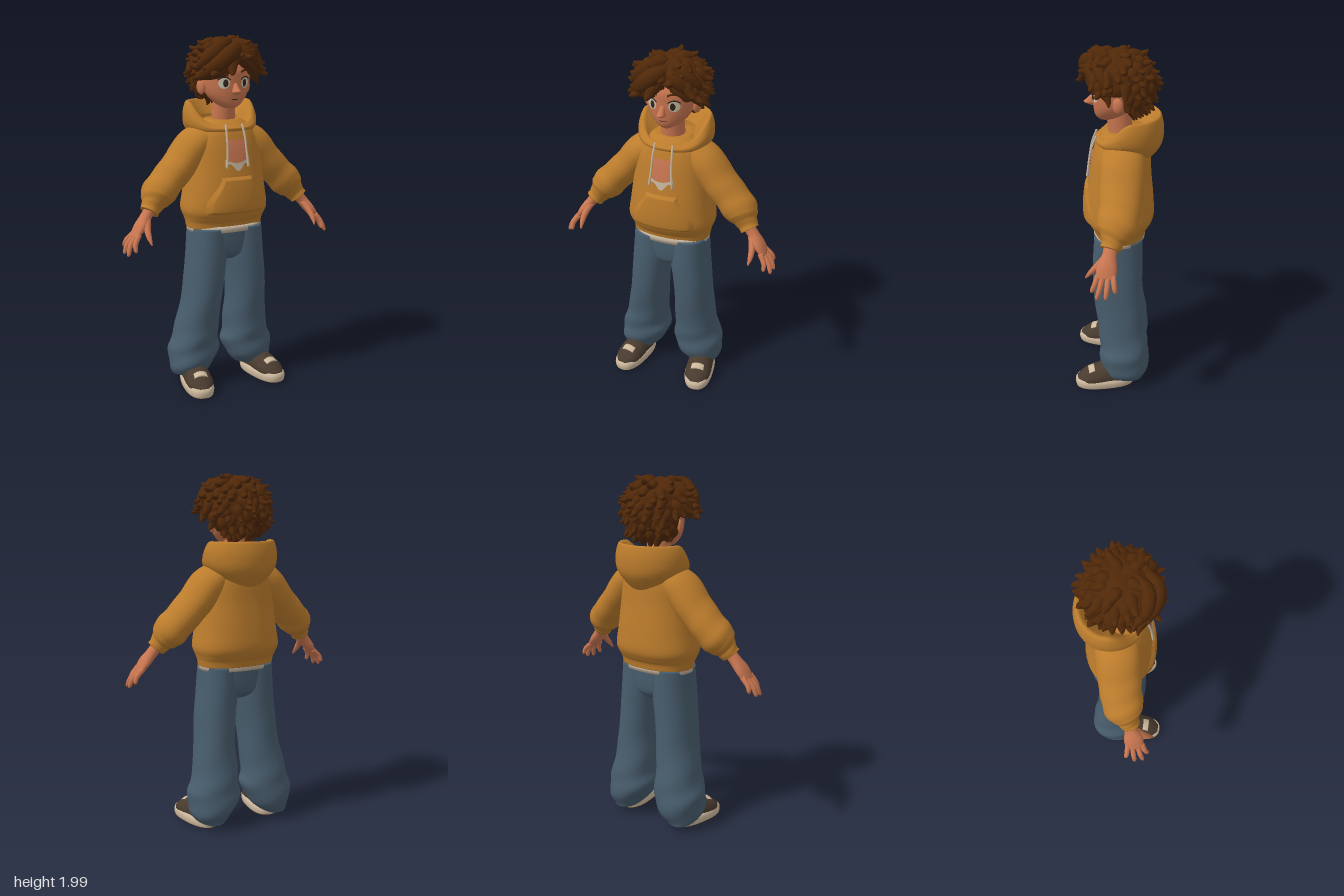
import * as THREE from 'three';
import { ParametricGeometry } from 'three/addons/geometries/ParametricGeometry.js';

const V3 = (x, y, z) => new THREE.Vector3(x, y, z);
const lerp = THREE.MathUtils.lerp, step = THREE.MathUtils.smoothstep;
const mat = (name, color, side = THREE.FrontSide) =>
  Object.assign(new THREE.MeshStandardMaterial({ color, side }), { name });

// Catmull-Rom interpolation of rows [x, y, z, radiusA, radiusB]
function smooth(rows, t) {
  const n = rows.length - 1, f = Math.min(t, 0.99999) * n, i = Math.floor(f), k = f - i;
  const r = (j) => rows[Math.max(0, Math.min(n, j))];
  return rows[0].map((_, c) => {
    const a = r(i - 1)[c], b = r(i)[c], d = r(i + 1)[c], e = r(i + 2)[c];
    return b + 0.5 * k * (d - a + k * (2 * a - 5 * b + 4 * d - e + k * (3 * (b - d) + e - a)));
  });
}

// Closed skin over elliptical rings; horizontal rings if no ref axis is given
function loft(rows, { seg = 24, steps = 32, pow = 2, ref = null, fold = () => 1 } = {}) {
  const pos = [], idx = [];
  for (let i = 0; i <= steps; i++) {
    const t = i / steps, [x, y, z, ra, rb] = smooth(rows, t);
    let U = V3(0, 0, 1), V = V3(1, 0, 0);
    if (ref) {
      const a = smooth(rows, Math.max(0, t - 0.02)), b = smooth(rows, Math.min(1, t + 0.02));
      const T = V3(b[0] - a[0], b[1] - a[1], b[2] - a[2]).normalize();
      U = ref.clone().addScaledVector(T, -ref.dot(T)).normalize();
      V = T.clone().cross(U);
    }
    for (let j = 0; j < seg; j++) {
      const a = (j / seg) * Math.PI * 2, c = Math.cos(a), s = Math.sin(a), f = fold(t, a);
      const p = V3(x, y, z)
        .addScaledVector(V, ra * f * Math.sign(c) * Math.abs(c) ** (2 / pow))
        .addScaledVector(U, rb * f * Math.sign(s) * Math.abs(s) ** (2 / pow));
      pos.push(p.x, p.y, p.z);
      if (i < steps) {
        const q = i * seg + j, r = i * seg + (j + 1) % seg;
        idx.push(q, q + seg, r, r, q + seg, r + seg);
      }
    }
  }
  const c0 = pos.length / 3, last = steps * seg;
  pos.push(...rows[0].slice(0, 3), ...rows[rows.length - 1].slice(0, 3));
  for (let j = 0; j < seg; j++) {
    const k = (j + 1) % seg;
    idx.push(c0, j, k, c0 + 1, last + k, last + j);
  }
  const g = new THREE.BufferGeometry();
  g.setAttribute('position', new THREE.Float32BufferAttribute(pos, 3));
  g.setIndex(idx);
  g.computeVertexNormals();
  return g;
}

// Move every vertex by a rule
function reshape(g, rule) {
  const p = g.attributes.position, v = V3();
  for (let i = 0; i < p.count; i++) {
    rule(v.fromBufferAttribute(p, i));
    p.setXYZ(i, v.x, v.y, v.z);
  }
  g.computeVertexNormals();
  return g;
}

// Front surface depth of a horizontal-ring loft
function frontZ(rows, pow, x, y) {
  let a = 0, b = 1;
  for (let i = 0; i < 24; i++) { const m = (a + b) / 2; if (smooth(rows, m)[1] < y) a = m; else b = m; }
  const r = smooth(rows, a);
  return r[2] + r[4] * Math.max(0, 1 - Math.abs(x / r[3]) ** pow) ** (1 / pow);
}

const TORSO = [[0, 0.94, -0.01, 0.222, 0.145], [0, 0.975, -0.01, 0.228, 0.152], [0, 1.0, -0.01, 0.236, 0.17],
  [0, 1.05, -0.01, 0.25, 0.192], [0, 1.15, -0.008, 0.235, 0.19], [0, 1.3, -0.012, 0.215, 0.172],
  [0, 1.42, -0.02, 0.2, 0.158], [0, 1.5, -0.025, 0.16, 0.135], [0, 1.54, -0.03, 0.1, 0.09]];
const HEAD = [[0, 1.605, 0.06, 0.03, 0.042], [0, 1.63, 0.045, 0.072, 0.078], [0, 1.68, 0.025, 0.115, 0.108],
  [0, 1.75, 0.01, 0.135, 0.128], [0, 1.82, 0, 0.135, 0.135], [0, 1.9, -0.01, 0.09, 0.09]];

export function createModel() {
  const root = new THREE.Group();
  root.name = 'standingFigure';
  const M = {
    hoodie: mat('ochre cloth', 0xbc7c2c, THREE.DoubleSide), denim: mat('blue denim', 0x485d6d),
    skin: mat('skin', 0xc97650), hair: mat('brown hair', 0x502808),
    shirt: mat('pale shirt', 0xc6b49f, THREE.DoubleSide), rubber: mat('cream rubber', 0xcdb89c),
    suede: mat('dark suede', 0x483a2e), eye: mat('eye white', 0xc8c0a8), iris: mat('dark iris', 0x33251a),
  };
  const add = (name, g, m, parent = root) => {
    const o = new THREE.Mesh(g, m);
    o.name = name;
    parent.add(o);
    return o;
  };
  // Thin plate following a front surface: at(u, v) gives [x, y, lift]
  const plate = (name, m, rows, pow, at, nu = 16, nv = 12) => add(name, new ParametricGeometry((u, v, o) => {
    const [x, y, lift] = at(u, v);
    o.set(x, y, frontZ(rows, pow, x, y) + lift);
  }, nu, nv), m);
  const disc = (cx, cy, a, b, lift) => (u, v) =>
    [cx + a * v * Math.cos(-u * Math.PI * 2), cy + b * v * Math.sin(-u * Math.PI * 2), lift];
  const Z = V3(0, 0, 1), X = V3(1, 0, 0);

  // Hooded top
  add('hoodieBody', loft(TORSO, { seg: 48, steps: 56, pow: 2.3 }), M.hoodie);
  plate('frontPocket', M.hoodie, TORSO, 2.3, (u, v) => {
    const edge = Math.min(u, 1 - u, v, 1 - v);
    return [(2 * u - 1) * lerp(0.185, 0.095, step(v, 0.2, 1)), 1.03 + 0.21 * v, -0.002 + 0.016 * Math.min(1, edge * 12)];
  }, 36, 28);
  add('hood', new ParametricGeometry((u, v, o) => {
    const a = u * Math.PI * 2, b = (1 - Math.cos(a)) / 2;
    const low = lerp(1.46, 1.38, b), rim = 1.515 + 0.12 * step(b, 0.02, 0.55);
    const prof = [[0.6, low], [0.94, lerp(low, rim, 0.35)], [1, lerp(low, rim, 0.68)], [0.93, rim - 0.008],
      [0.84, rim], [0.74, rim - 0.02], [0.5, rim - 0.08]];
    const [k, y] = smooth(prof, v);
    o.set(Math.sin(a) * 0.212 * k, y, -0.06 + Math.cos(a) * 0.188 * k);
  }, 56, 28), M.hoodie);
  plate('chestPrint', M.skin, TORSO, 2.3, (u, v) => [lerp(-0.052, 0.058, u), 1.32 + 0.12 * v, 0.006]);
  plate('chestPrintEdge', M.shirt, TORSO, 2.3, (u, v) =>
    [lerp(-0.072, 0.07, u), lerp(1.29 + 0.02 * Math.sin(u * 9), 1.335 - 0.02 * Math.sin(u * Math.PI), v), 0.008], 24, 4);
  add('shirtHem', loft([[0, 0.918, -0.008, 0.219, 0.146], [0, 0.955, -0.008, 0.219, 0.146]],
    { seg: 48, steps: 2, pow: 2.3 }), M.shirt);

  // Jeans
  add('jeansSeat', loft([[0, 0.75, -0.005, 0.06, 0.08], [0, 0.8, -0.005, 0.17, 0.128], [0, 0.94, -0.005, 0.21, 0.138]],
    { seg: 36, steps: 14, pow: 2.3 }), M.denim);

  for (const s of [1, -1]) {
    const side = s > 0 ? 'left' : 'right';
    const at = (rows) => rows.map(([x, ...r]) => [x * s, ...r]);
    // Baggy trouser leg with a hem that drops at the heel
    const leg = at([[0.205, 0.065, -0.03, 0.09, 0.115], [0.19, 0.12, -0.035, 0.125, 0.138], [0.172, 0.2, -0.04, 0.146, 0.145],
      [0.165, 0.27, -0.035, 0.132, 0.142], [0.155, 0.36, -0.025, 0.12, 0.138], [0.143, 0.5, -0.008, 0.11, 0.138],
      [0.13, 0.65, 0, 0.108, 0.142], [0.115, 0.8, 0, 0.11, 0.141], [0.11, 0.94, -0.003, 0.105, 0.136]]);
    for (const r of leg) r[0] -= 0.012 * step(0.6 - r[1], 0, 0.3);
    add(side + 'TrouserLeg', reshape(loft(leg, { seg: 36, steps: 60, pow: 2.2,
      fold: (t, a) => 1 + 0.04 * (1 - t) ** 1.5 * Math.sin(2 * a + 26 * t) + 0.015 * Math.sin(3 * a + 5 * t) * (1 - t) }),
    (v) => { if (v.y < 0.35) v.y += v.z * 0.27 * (1 - v.y / 0.35); }), M.denim);

    // Sleeve and cuff
    add(side + 'Sleeve', loft(at([[0.1, 1.46, -0.025, 0.07, 0.11], [0.18, 1.4, -0.025, 0.095, 0.122], [0.265, 1.3, -0.02, 0.092, 0.118],
      [0.345, 1.215, -0.012, 0.09, 0.112], [0.405, 1.15, 0, 0.092, 0.108], [0.432, 1.115, 0.012, 0.075, 0.085],
      [0.45, 1.09, 0.022, 0.058, 0.06], [0.472, 1.06, 0.032, 0.053, 0.054]]),
    { seg: 28, steps: 48, ref: Z, fold: (t, a) => 1 + 0.035 * t * Math.sin(t * 38 + 2 * Math.sin(a)) }), M.hoodie);

    // Hand
    const hand = new THREE.Group();
    hand.name = side + 'Hand';
    root.add(hand);
    add('palm', loft(at([[0.455, 1.085, 0.03, 0.032, 0.036], [0.495, 1.035, 0.038, 0.03, 0.038],
      [0.535, 0.985, 0.05, 0.027, 0.054], [0.572, 0.935, 0.056, 0.014, 0.048]]), { seg: 16, steps: 14, ref: Z }), M.skin, hand);
    const fingers = [[0.095, 0.59, 0.87, 0.13], [0.069, 0.624, 0.848, 0.102], [0.042, 0.63, 0.852, 0.055], [0.018, 0.615, 0.88, 0.005]];
    for (const [z, tx, ty, tz] of fingers) {
      const bx = 0.555, by = 0.955;
      add('finger', loft(at([[bx, by, z, 0.015, 0.015], [lerp(bx, tx, 0.55) + 0.008, lerp(by, ty, 0.5), lerp(z, tz, 0.5), 0.014, 0.014],
        [lerp(bx, tx, 0.9), lerp(by, ty, 0.9), lerp(z, tz, 0.9), 0.011, 0.011], [tx, ty, tz, 0.003, 0.003]]),
      { seg: 10, steps: 12, ref: Z }), M.skin, hand);
    }
    add('thumb', loft(at([[0.49, 1.03, 0.055, 0.018, 0.02], [0.508, 0.985, 0.098, 0.018, 0.018],
      [0.512, 0.945, 0.135, 0.014, 0.014], [0.508, 0.91, 0.163, 0.004, 0.004]]), { seg: 10, steps: 12, ref: X }), M.skin, hand);

    // Shoe, turned slightly outwards
    const shoe = new THREE.Group();
    shoe.name = side + 'Shoe';
    shoe.position.set(0.215 * s, 0, 0.076);
    shoe.rotation.y = 0.16 * s;
    root.add(shoe);
    const slab = (y0, y1, w, l) => loft([[0, y0, 0, w - 0.004, l - 0.004], [0, lerp(y0, y1, 0.3), 0, w, l],
      [0, lerp(y0, y1, 0.7), 0, w, l], [0, y1, 0, w - 0.008, l - 0.008]], { seg: 32, steps: 9, pow: 2.5 });
    add('outsole', slab(0, 0.01, 0.078, 0.168), M.suede, shoe);
    add('sole', slab(0.006, 0.058, 0.083, 0.175), M.rubber, shoe);
    const upper = [[0, 0.05, -0.16, 0.03, 0.045], [0, 0.06, -0.1, 0.08, 0.07], [0, 0.062, -0.02, 0.085, 0.075],
      [0, 0.058, 0.05, 0.066, 0.077], [0, 0.052, 0.11, 0.048, 0.068], [0, 0.05, 0.162, 0.012, 0.03]];
    const lift = (v) => { v.y = Math.max(v.y, 0.04); };
    add('upper', reshape(loft(upper, { seg: 24, steps: 24, ref: X }), lift), M.suede, shoe);
    add('tongue', reshape(loft([0.62, 0.66, 0.7, 0.74].map((t) => {
      const r = smooth(upper, t);
      return [r[0], r[1], r[2], r[3] + 0.005, r[4] * 0.85];
    }), { seg: 24, steps: 6, ref: X }), lift), M.rubber, shoe);

    // Drawstring, eye, brow and ear
    add(side + 'Drawstring', loft([[0.05 * s, 1.52, 0.118, 0.006, 0.006], [0.055 * s, 1.45, 0.144, 0.006, 0.006],
      [0.058 * s, 1.38, 0.157, 0.006, 0.006], [0.066 * s, 1.29, 0.168, 0.008, 0.008]], { seg: 8, steps: 12, ref: X }), M.shirt);
    plate(side + 'EyeWhite', M.eye, HEAD, 2, disc(0.062 * s, 1.743, 0.028, 0.029, 0.003), 20, 4);
    plate(side + 'Iris', M.iris, HEAD, 2, disc(0.056 * s, 1.743, 0.013, 0.021, 0.006), 16, 3);
    plate(side + 'Lash', M.iris, HEAD, 2, (u, v) => {
      const k = 2 * u - 1;
      return [0.062 * s + 0.031 * k, 1.772 - 0.014 * k * k + 0.007 * v, 0.005];
    }, 10, 1);
    plate(side + 'Brow', M.hair, HEAD, 2, (u, v) => {
      const k = 2 * u - 1;
      return [0.064 * s + 0.034 * k, 1.805 - 0.01 * k * k + 0.011 * v, 0.005];
    }, 10, 1);
    const ear = add(side + 'Ear', new THREE.SphereGeometry(1, 16, 12), M.skin);
    ear.scale.set(0.018, 0.043, 0.03);
    ear.position.set(0.14 * s, 1.72, 0);
    ear.rotation.y = -0.4 * s;
  }

  // Head
  add('face', loft(HEAD, { seg: 36, steps: 36 }), M.skin);
  add('neck', loft([[0, 1.44, -0.03, 0.07, 0.075], [0, 1.53, -0.015, 0.066, 0.068], [0, 1.66, 0, 0.062, 0.066]],
    { seg: 24, steps: 10 }), M.skin);
  add('nose', loft([[0, 1.745, 0.125, 0.01, 0.012], [0, 1.715, 0.142, 0.017, 0.026], [0, 1.697, 0.148, 0.022, 0.036],
    [0, 1.682, 0.13, 0.014, 0.018]].reverse(), { seg: 16, steps: 12 }), M.skin);
  plate('mouth', M.iris, HEAD, 2, (u, v) => [lerp(-0.022, 0.022, u), 1.653 + 0.004 * v + 0.003 * (2 * u - 1) ** 2, 0.003], 8, 1);

  // Hair: lumpy cap with a face opening
  const hair = new THREE.Group();
  hair.name = 'hair';
  root.add(hair);
  const C = V3(0, 1.81, 0), R = V3(0.185, 0.17, 0.19);
  const hairline = (x) => Math.max(1.78, 1.87 - (x > 0.02 ? (x - 0.02) * 0.8 : (0.02 - x) * 1.1));
  const bare = (p) => p.z > -0.035 && p.y < hairline(p.x);
  add('hairCap', reshape(new THREE.SphereGeometry(1, 72, 56), (v) => {
    const lump = 1 + 0.025 * Math.sin(9 * v.x + 7 * v.y) * Math.sin(8 * v.z + 5 * v.y);
    v.multiply(R).multiplyScalar(lump).add(C);
    if (bare(v)) v.sub(C).multiplyScalar(0.6).add(C);
  }), M.hair, hair);

  // Curls spread evenly over the cap
  let seed = 7;
  const rnd = () => (seed = (seed * 16807) % 2147483647) / 2147483647;
  const count = 150;
  for (let i = 0; i < count; i++) {
    const y = 1 - (2 * (i + 0.5)) / count, r = Math.sqrt(1 - y * y), a = i * 2.39996;
    const n = V3(Math.cos(a) * r, y, Math.sin(a) * r), p = n.clone().multiply(R).multiplyScalar(0.9).add(C);
    const t = V3(0, -1, 0).addScaledVector(n, y).normalize(), side = t.clone().cross(n);
    t.addScaledVector(side, (rnd() - 0.5) * 1.3).normalize();
    const size = 0.75 + 0.45 * rnd(), out = rnd() * 0.02;
    const end = p.clone().addScaledVector(t, 0.08);
    if (y < -0.72 || bare(p) || bare(end)) continue;
    const path = [[0, -0.01, 0.016], [0.03, 0.01, 0.03], [0.065, 0.012, 0.024], [0.09, 0.02 + out, 0.013], [0.094, 0.034 + out, 0.003]];
    add('curl', loft(path.map(([d, h, w]) => {
      const q = p.clone().addScaledVector(t, d * size).addScaledVector(n, h);
      return [q.x, q.y, q.z, w * 0.85, w];
    }), { seg: 9, steps: 12, ref: t.clone().cross(n) }), M.hair, hair);
  }

  // Parted fringe swept to both sides
  const locks = [
    [[0.025, 1.94, 0.12, 0.02], [-0.03, 1.91, 0.165, 0.045], [-0.1, 1.85, 0.155, 0.046], [-0.17, 1.79, 0.09, 0.03], [-0.225, 1.77, 0.07, 0.004]],
    [[0.015, 1.9, 0.135, 0.015], [-0.04, 1.85, 0.16, 0.036], [-0.09, 1.81, 0.14, 0.034], [-0.15, 1.785, 0.085, 0.024], [-0.21, 1.8, 0.06, 0.004]],
    [[0, 1.96, 0.06, 0.02], [-0.07, 1.94, 0.12, 0.04], [-0.14, 1.88, 0.11, 0.04], [-0.19, 1.83, 0.06, 0.02], [-0.23, 1.84, 0.05, 0.004]],
    [[0.02, 1.94, 0.12, 0.02], [0.07, 1.895, 0.145, 0.034], [0.125, 1.835, 0.11, 0.034], [0.16, 1.77, 0.055, 0.024], [0.19, 1.73, 0.045, 0.004]],
    [[0.02, 1.96, 0.06, 0.02], [0.09, 1.93, 0.1, 0.036], [0.15, 1.87, 0.08, 0.034], [0.19, 1.82, 0.04, 0.02], [0.22, 1.83, 0.03, 0.004]],
  ];
  for (const l of locks) add('fringeLock', loft(l.map(([x, y, z, w]) => [x, y, z, w, w * 0.9]), { seg: 14, steps: 24, ref: Z }), M.hair, hair);
  return root;
}
